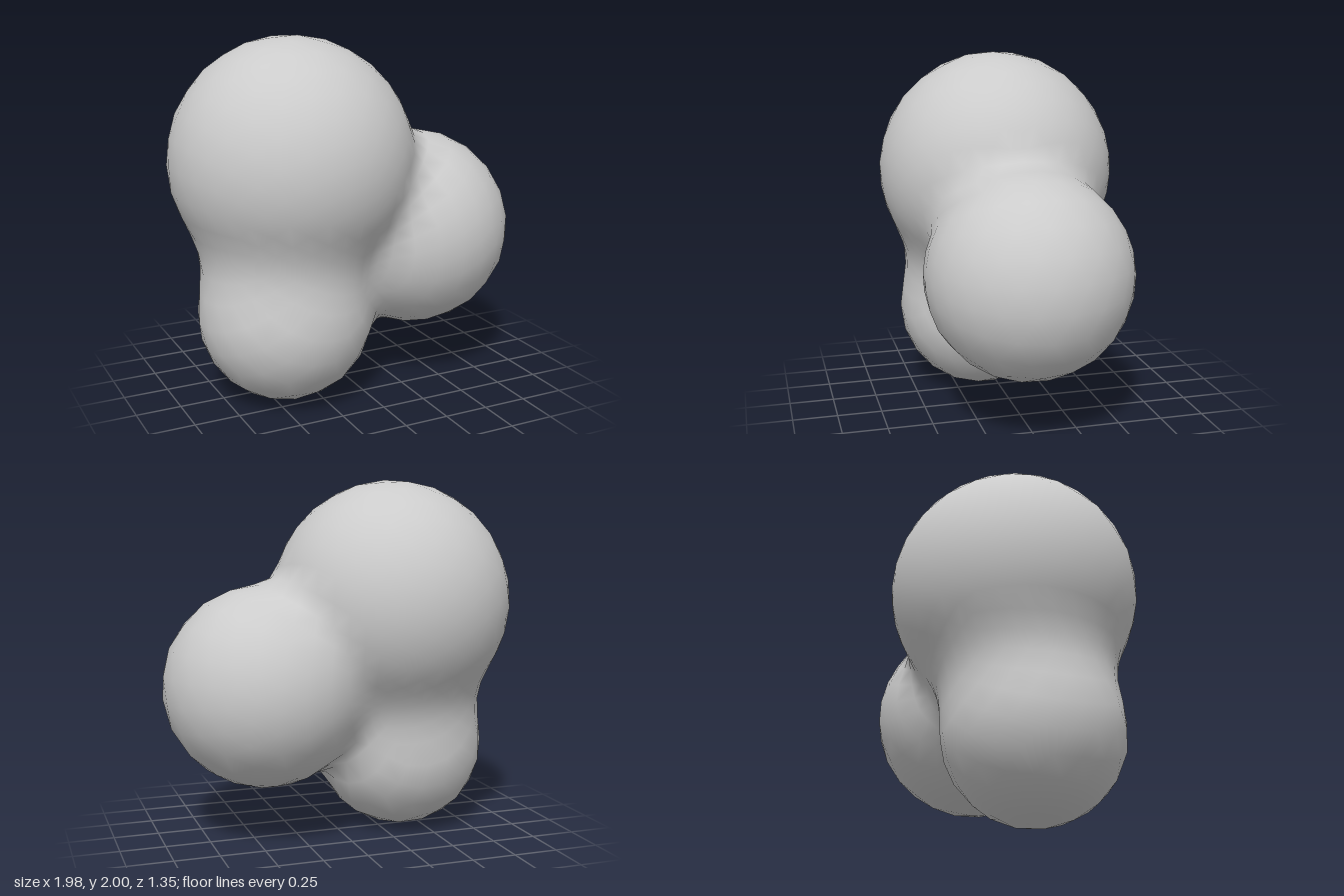
import * as THREE from 'three';

// The three lobes, with the radius of each
const top = { c: new THREE.Vector3(-0.32, 1.33, 0), r: 0.675 };
const side = { c: new THREE.Vector3(0.43, 0.87, 0), r: 0.565 };
const foot = { c: new THREE.Vector3(-0.4, 0.485, 0.075), r: 0.485 };
// A point inside from which the whole surface can be seen
const core = new THREE.Vector3(-0.12, 0.95, 0.02);

const ball = (p, s) => p.distanceTo(s.c) - s.r;

// Smooth union of two distances with blend width k
function blend(a, b, k) {
  const h = Math.max(k - Math.abs(a - b), 0) / k;
  return Math.min(a, b) - h * h * k * 0.25;
}

const distance = (p) =>
  blend(blend(ball(p, top), ball(p, foot), 0.29), ball(p, side), 0.14);

// Surface direction from the slope of the distance
function normalAt(p) {
  const slope = (axis) => {
    const a = p.clone(), b = p.clone();
    a[axis] += 0.01;
    b[axis] -= 0.01;
    return distance(a) - distance(b);
  };
  return new THREE.Vector3(slope('x'), slope('y'), slope('z')).normalize();
}

export function createModel() {
  const group = new THREE.Group();
  group.name = 'blendedBlob';

  // Shrink a faceted sphere inwards until it rests on the blended lobes
  const geometry = new THREE.IcosahedronGeometry(1, 7);
  const pos = geometry.attributes.position;
  const nor = geometry.attributes.normal;
  const dir = new THREE.Vector3();
  const p = new THREE.Vector3();
  for (let i = 0; i < pos.count; i++) {
    dir.fromBufferAttribute(pos, i).normalize();
    let t = 2;
    for (let step = 0; step < 80; step++) {
      p.copy(core).addScaledVector(dir, t);
      t -= distance(p);
    }
    p.copy(core).addScaledVector(dir, t);
    const n = normalAt(p);
    pos.setXYZ(i, p.x, p.y, p.z);
    nor.setXYZ(i, n.x, n.y, n.z);
  }

  const body = new THREE.Mesh(geometry, new THREE.MeshStandardMaterial({ color: 0xcccccc }));
  body.name = 'threeLobedBody';
  group.add(body);
  return group;
}
